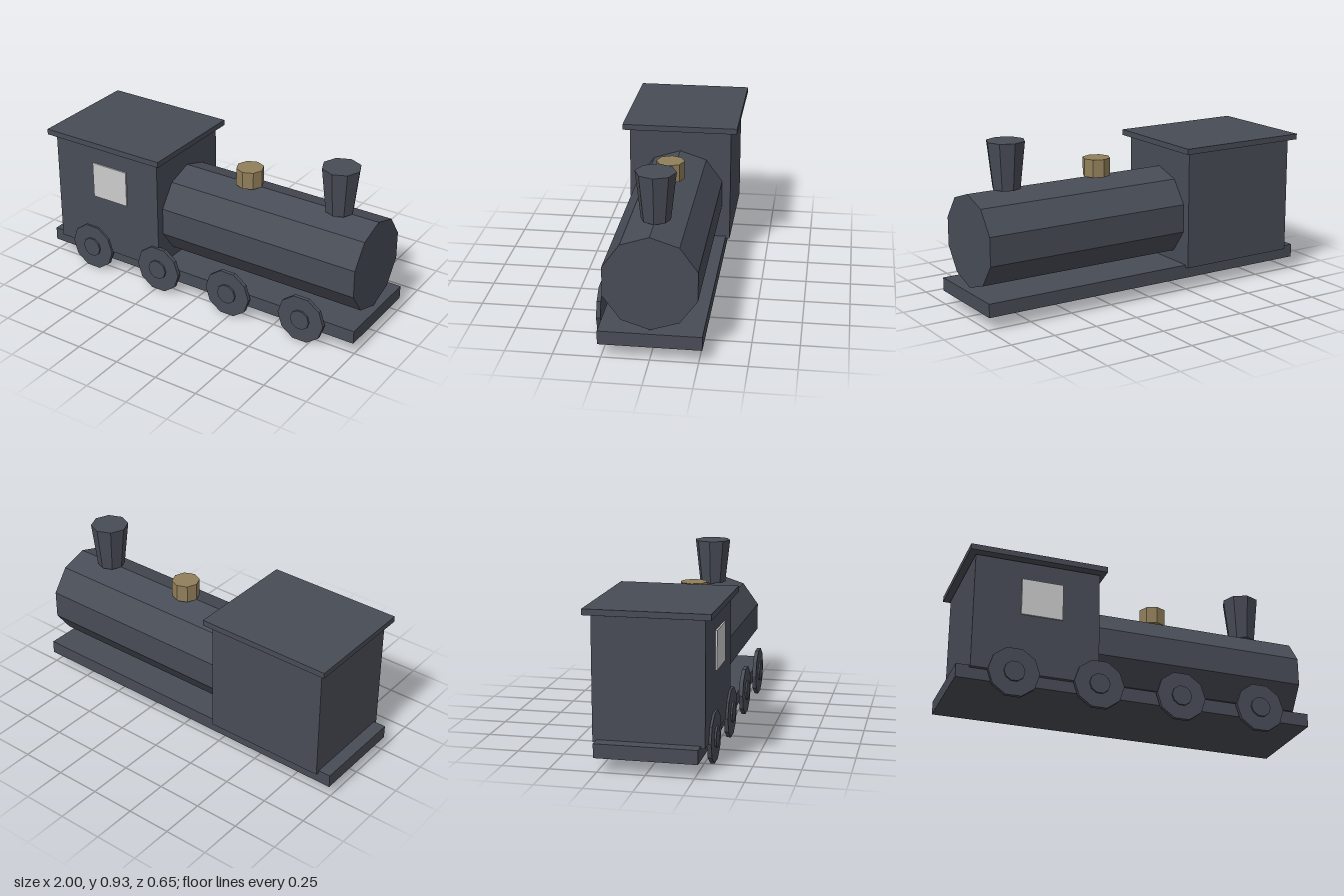
import * as THREE from 'three';

const paint = (name, color) => {
  const m = new THREE.MeshStandardMaterial({ color });
  m.name = name;
  m.flatShading = true;
  return m;
};

export function createModel() {
  const slate = paint('slate', 0x484c56);
  const brass = paint('brass', 0x917f5a);
  const glass = paint('pale glass', 0xcccccc);
  const model = new THREE.Group();
  model.name = 'locomotive';

  const add = (name, geometry, material, x, y, z, parent = model) => {
    const mesh = new THREE.Mesh(geometry, material);
    mesh.name = name;
    mesh.position.set(x, y, z);
    parent.add(mesh);
    return mesh;
  };

  // box given by its limits on each axis
  const box = (name, material, [x0, x1], [y0, y1], [z0, z1]) =>
    add(name, new THREE.BoxGeometry(x1 - x0, y1 - y0, z1 - z0), material,
      (x0 + x1) / 2, (y0 + y1) / 2, (z0 + z1) / 2);

  // chassis, cab, roof slab and the window plate on the front side
  box('chassis', slate, [-1, 1], [0.073, 0.148], [-0.268, 0.268]);
  box('cab', slate, [-0.93, -0.235], [0.135, 0.785], [-0.29, 0.29]);
  box('roof', slate, [-0.966, -0.2], [0.793, 0.825], [-0.326, 0.326]);
  box('window', glass, [-0.672, -0.443], [0.472, 0.681], [0.29, 0.299]);

  // ten-sided boiler lying along x, with a ridge at the top
  const boiler = new THREE.CylinderGeometry(0.255, 0.255, 1.21, 10)
    .rotateY(Math.PI / 2).rotateZ(Math.PI / 2);
  add('boiler', boiler, slate, 0.368, 0.413, 0);

  // flared chimney and steam dome
  add('chimney', new THREE.CylinderGeometry(0.106, 0.077, 0.257, 8), slate, 0.742, 0.797, 0);
  add('steamDome', new THREE.CylinderGeometry(0.077, 0.077, 0.099, 8), brass, 0.183, 0.718, 0);

  // four wheels with hubs along the front side
  const disc = (r, depth) => new THREE.CylinderGeometry(r, r, depth, 10)
    .rotateY(Math.PI / 2).rotateX(Math.PI / 2);
  const rim = disc(0.139, 0.022);
  const hub = disc(0.057, 0.03);
  for (let i = 0; i < 4; i++) {
    const wheel = new THREE.Group();
    wheel.name = 'wheel';
    wheel.position.set(-0.7 + i * 0.465, 0.1325, 0.291);
    add('rim', rim, slate, 0, 0, 0, wheel);
    add('hub', hub, slate, 0, 0, 0.006, wheel);
    model.add(wheel);
  }
  return model;
}
